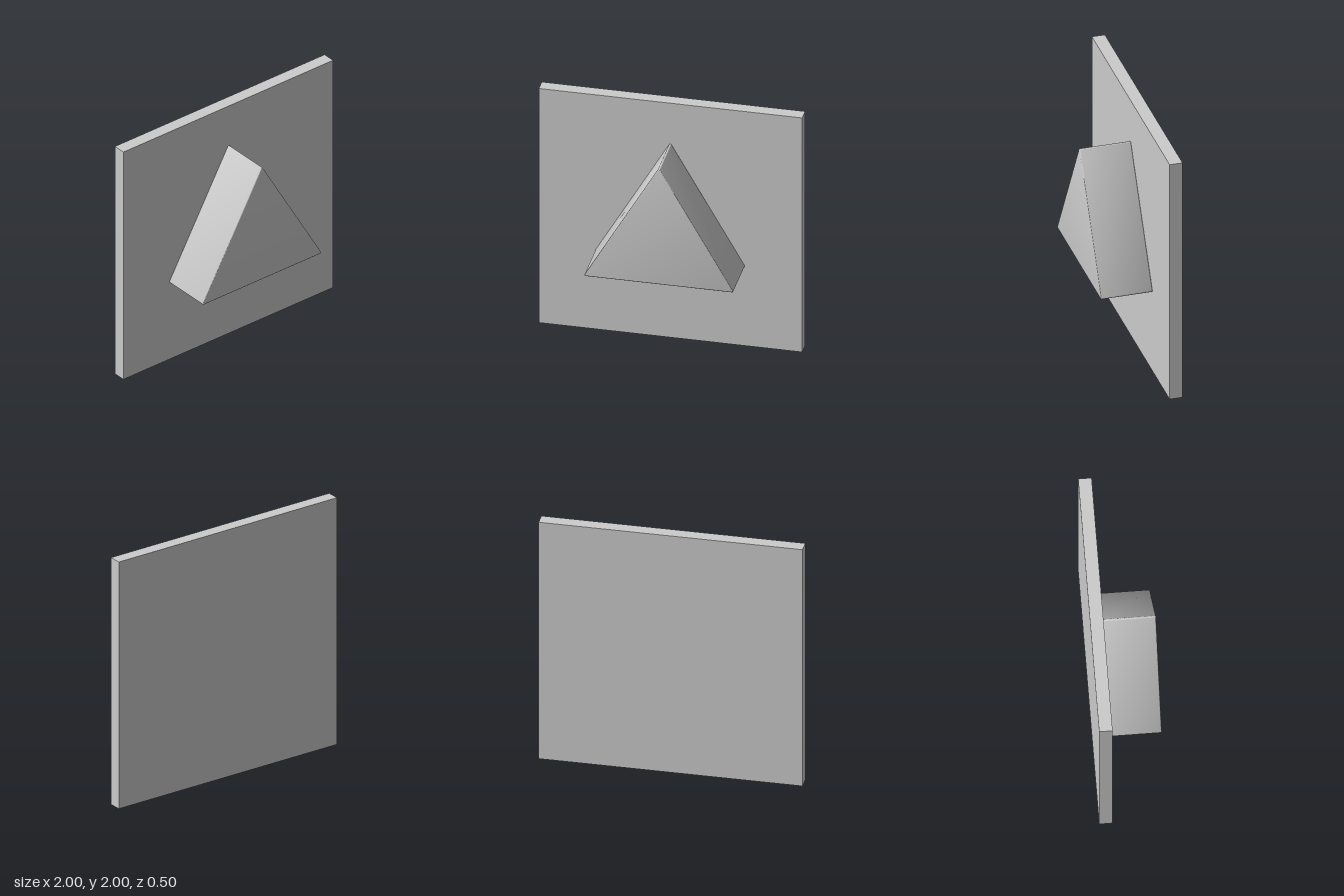
import * as THREE from 'three';
import { toCreasedNormals } from 'three/addons/utils/BufferGeometryUtils.js';

const material = new THREE.MeshStandardMaterial({ color: 0xcccccc });

// Equilateral triangle with slightly rounded corners
function roundedTriangle(centreY, circumradius, r) {
  const shape = new THREE.Shape();
  for (let i = 0; i < 3; i++) {
    const a = Math.PI / 2 + (i * 2 * Math.PI) / 3;
    shape.absarc(circumradius * Math.cos(a), centreY + circumradius * Math.sin(a),
      r, a - Math.PI / 3, a + Math.PI / 3, false);
  }
  shape.closePath();
  return shape;
}

export function createModel() {
  const group = new THREE.Group();

  // Square back plate
  const plate = new THREE.Mesh(new THREE.BoxGeometry(2, 2, 0.1), material);
  plate.name = 'backPlate';
  plate.position.set(0, 1, -0.2);
  group.add(plate);

  // Triangular block with softened edges
  const bevel = 0.008;
  const geometry = new THREE.ExtrudeGeometry(roundedTriangle(1.005, 0.64, 0.01), {
    depth: 0.4 - 2 * bevel,
    bevelThickness: bevel,
    bevelSize: bevel,
    bevelOffset: -bevel,
    bevelSegments: 3,
    curveSegments: 6,
  });
  geometry.translate(0, 0, -0.15 + bevel);
  const block = new THREE.Mesh(toCreasedNormals(geometry, Math.PI / 5), material);
  block.name = 'triangularBlock';
  group.add(block);

  return group;
}
